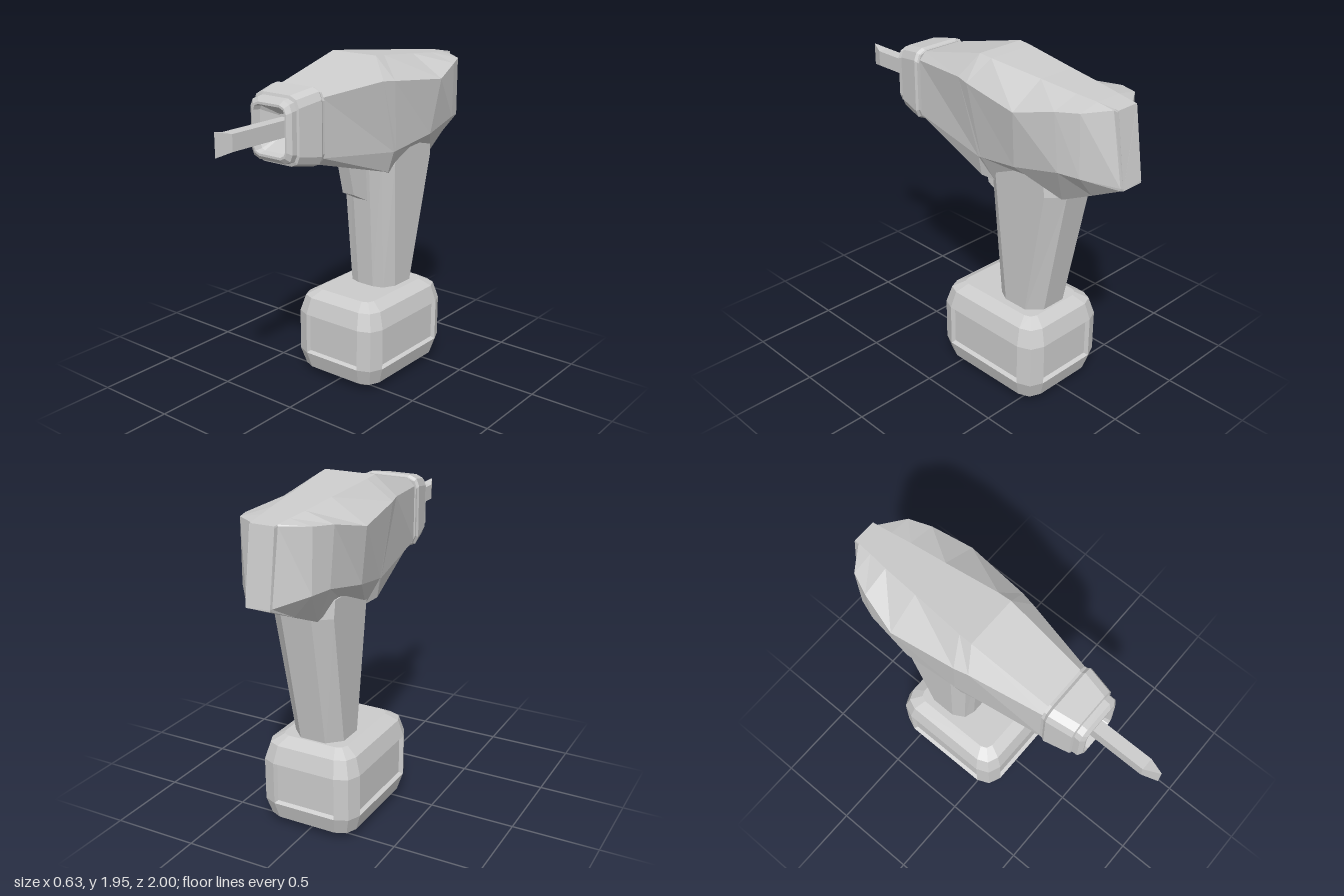
import * as THREE from 'three';

const material = new THREE.MeshStandardMaterial({ color: 0xcccccc, flatShading: true });

// Skin a list of closed rings (counter-clockwise about the travel axis) and cap the ends.
function loft(name, rings, { start = true, end = true, skip = () => false } = {}) {
  const pos = [];
  const tri = (a, b, c) => pos.push(...a, ...b, ...c);
  const n = rings[0].length;
  for (let i = 0; i < rings.length - 1; i++) {
    for (let j = 0; j < n; j++) {
      if (skip(i, j)) continue;
      const k = (j + 1) % n;
      tri(rings[i][j], rings[i][k], rings[i + 1][k]);
      tri(rings[i][j], rings[i + 1][k], rings[i + 1][j]);
    }
  }
  const first = rings[0], last = rings[rings.length - 1];
  for (let j = 1; j < n - 1; j++) {
    if (start) tri(first[0], first[j + 1], first[j]);
    if (end) tri(last[0], last[j], last[j + 1]);
  }
  const geometry = new THREE.BufferGeometry();
  geometry.setAttribute('position', new THREE.Float32BufferAttribute(pos, 3));
  geometry.computeVertexNormals();
  const mesh = new THREE.Mesh(geometry, material);
  mesh.name = name;
  return mesh;
}

// Complete a ring from its right half by mirroring in x.
const mirrored = (half) => [...half, ...half.slice().reverse().map(([x, y, z]) => [-x, y, z])];

// Rectangle with two-facet rounded corners.
function roundedRect(hu, hv, c) {
  const corner = [[hu, hv - c], [hu - 0.3 * c, hv - 0.3 * c], [hu - c, hv]];
  const flip = corner.slice().reverse();
  return [
    ...corner,
    ...flip.map(([u, v]) => [-u, v]),
    ...corner.map(([u, v]) => [-u, -v]),
    ...flip.map(([u, v]) => [u, -v]),
  ];
}

// Plain rectangle ring in a plane of constant z.
const rect = (hx, hy, z, cy = 0) => [[hx, cy - hy, z], [hx, cy + hy, z], [-hx, cy + hy, z], [-hx, cy - hy, z]];

function createHousing() {
  // Each half section: bottom, lower side, shoulder, top; from back to front.
  const sections = [
    [[0.068, 1.45, -1.0], [0.07, 1.46, -1.0], [0.07, 1.845, -0.942], [0.068, 1.855, -0.94]],
    [[0.07, 1.445, -0.985], [0.073, 1.46, -0.985], [0.073, 1.85, -0.915], [0.07, 1.858, -0.912]],
    [[0.1, 1.375, -0.83], [0.2, 1.5, -0.83], [0.205, 1.843, -0.82], [0.08, 1.868, -0.82]],
    [[0.13, 1.3, -0.66], [0.24, 1.51, -0.72], [0.255, 1.832, -0.7], [0.095, 1.88, -0.7]],
    [[0.16, 1.37, -0.47], [0.27, 1.46, -0.45], [0.315, 1.78, -0.48], [0.115, 1.903, -0.48]],
    [[0.16, 1.26, -0.2], [0.232, 1.408, -0.17], [0.268, 1.817, -0.1], [0.147, 1.937, -0.16]],
    [[0.2, 1.285, -0.14], [0.23, 1.405, -0.15], [0.25, 1.825, -0.02], [0.15, 1.945, -0.08]],
    [[0.125, 1.43, 0.39], [0.165, 1.47, 0.39], [0.165, 1.79, 0.39], [0.125, 1.83, 0.39]],
  ];
  return loft('housing', sections.map(mirrored));
}

function createChuck() {
  // z, half width, half height, corner; the last entries run back into the socket.
  const rings = [
    [0.385, 0.175, 0.2, 0.06], [0.4, 0.175, 0.2, 0.06], [0.415, 0.182, 0.21, 0.06],
    [0.56, 0.155, 0.185, 0.06], [0.565, 0.142, 0.17, 0.055], [0.6, 0.142, 0.165, 0.055],
    [0.618, 0.118, 0.143, 0.045], [0.618, 0.108, 0.13, 0.035], [0.575, 0.1, 0.122, 0.03],
    [0.48, 0.05, 0.06, 0.01],
  ];
  return loft('chuck', rings.map(([z, hx, hy, c]) =>
    roundedRect(hx, hy, c).map(([x, y]) => [x, y + 1.635, z])));
}

function createHandle() {
  // y, half width, front z, back z
  const rings = [[0.5, 0.153, -0.2, -0.505], [1.3, 0.182, -0.14, -0.66], [1.4, 0.185, -0.15, -0.65]];
  return loft('handle', rings.map(([y, w, front, back]) => mirrored([
    [w * 0.35, y, front],
    [w * 0.75, y, front - 0.02],
    [w, y, front - 0.09],
    [w, y, back + 0.075],
    [w * 0.5, y, back],
  ])));
}

function createBattery() {
  const group = new THREE.Group();
  group.name = 'battery';
  const hx = 0.297, hz = 0.377, corner = 0.106, low = 0.145, high = 0.395;
  // y, inset from the full outline, corner size
  const rings = [
    [0, 0.1, 0.05], [0.045, 0.03, 0.09], [low, 0, corner],
    [high, 0, corner], [0.495, 0.03, 0.09], [0.535, 0.1, 0.05],
  ].map(([y, inset, c]) => roundedRect(hz - inset, hx - inset, c).map(([z, x]) => [x, y, z]));
  // The four flat sides stay open for the recessed panels.
  group.add(loft('batteryShell', rings, { skip: (i, j) => i === 2 && j % 3 === 2 }));

  const hy = (high - low) / 2;
  for (let i = 0; i < 4; i++) {
    const side = i % 2 === 1;
    const half = (side ? hz : hx) - corner;
    const panel = loft('recessedPanel', [rect(half, hy, 0), rect(half - 0.012, hy - 0.012, -0.022)], { start: false });
    const angle = i * Math.PI / 2;
    const reach = side ? hx : hz;
    panel.rotation.y = angle;
    panel.position.set(Math.sin(angle) * reach, (low + high) / 2, Math.cos(angle) * reach);
    group.add(panel);
  }
  group.position.z = -0.248;
  return group;
}

export function createModel() {
  const model = new THREE.Group();
  model.name = 'cordlessDrill';
  model.add(createHousing(), createChuck(), createHandle(), createBattery());

  // Trigger: side profile swept across x
  const profile = [[1.145, -0.03], [1.08, -0.16], [1.34, -0.18], [1.34, 0.02]];
  model.add(loft('trigger', [-0.04, 0.04].map((x) => profile.map(([y, z]) => [x, y, z]))));

  // Flat-blade bit narrowing to an edge
  model.add(loft('bit', [
    rect(0.035, 0.045, 0.46, 1.635), rect(0.035, 0.045, 0.915, 1.635), rect(0.001, 0.065, 1.0, 1.635),
  ]));
  return model;
}
